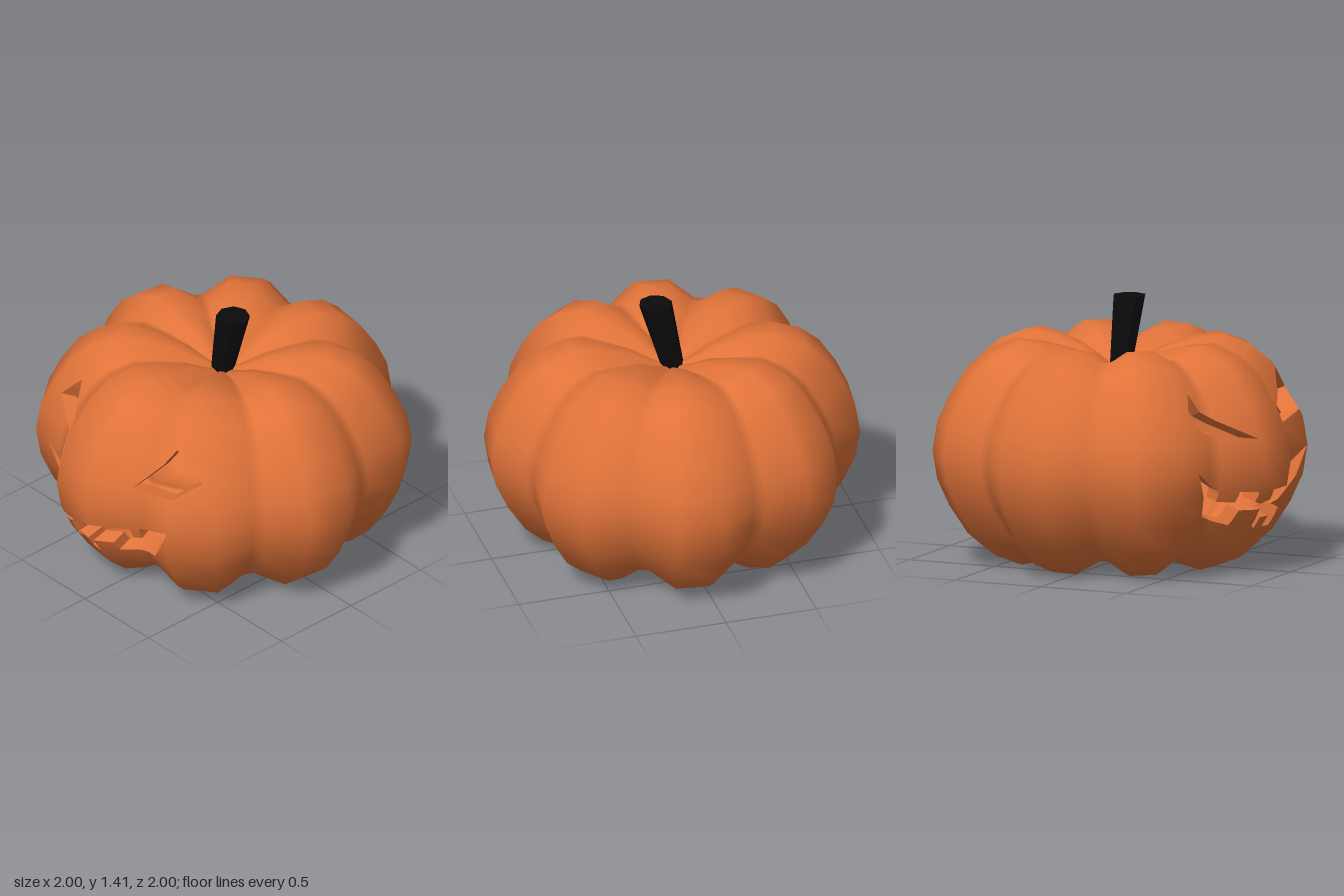
import * as THREE from 'three';

const CENTRE = 0.6, SHELL = 0.9;
const skin = new THREE.MeshStandardMaterial({ color: 0xe0733a });
const cutSkin = new THREE.MeshStandardMaterial({ color: 0xe0733a, side: THREE.DoubleSide });
const stemMat = new THREE.MeshStandardMaterial({ color: 0x0b0b0b });

// Half profile from the stem dip to the equator: radius, height above centre
const HALF = [[0, 0.42], [0.1, 0.46], [0.24, 0.535], [0.4, 0.58], [0.555, 0.6],
  [0.706, 0.54], [0.813, 0.448], [0.909, 0.3], [0.975, 0.155]];
const PROFILE = [...HALF, [1, 0], ...HALF.map(([r, y]) => [r, -y]).reverse()];
// One lobe: angle in degrees, groove depth
const LOBE = [[0, 0], [15, 0], [27.5, 0.11], [32.5, 0.11]];

// Carved openings, as outlines in the front plane
const LEFT_EYE = [[0.415, 1.03], [0.35, 0.92], [0.195, 0.735], [0.49, 0.795], [0.59, 0.89]];
const RIGHT_EYE = [[-0.56, 0.885], [-0.46, 0.79], [-0.26, 0.75], [-0.425, 0.9], [-0.455, 1.0]];
const MOUTH = [[-0.575, 0.595], [-0.44, 0.34], [-0.3, 0.28], [-0.3, 0.365], [-0.2, 0.365],
  [-0.2, 0.27], [-0.16, 0.25], [-0.16, 0.31], [-0.08, 0.31], [-0.08, 0.25], [-0.01, 0.245],
  [-0.01, 0.34], [0.08, 0.34], [0.08, 0.275], [0.31, 0.33], [0.41, 0.44], [0.495, 0.6],
  [0.25, 0.5], [0.25, 0.43], [0.19, 0.41], [0.19, 0.47], [-0.13, 0.46], [-0.13, 0.405],
  [-0.22, 0.395], [-0.26, 0.41], [-0.26, 0.465], [-0.33, 0.47], [-0.33, 0.41], [-0.4, 0.42],
  [-0.41, 0.48]];

// Closed, uncut lobed body with smooth normals
function lobedBody() {
  const pos = [], index = [], cols = 8 * LOBE.length;
  PROFILE.forEach(([r, y]) => {
    for (let k = 0; k < 8; k++) {
      for (const [deg, depth] of LOBE) {
        const a = THREE.MathUtils.degToRad(deg + 45 * k);
        const s = 1 - depth * Math.min(1, r / 0.3);
        pos.push(r * s * Math.cos(a), CENTRE + y * s, r * s * Math.sin(a));
      }
    }
  });
  for (let i = 0; i < PROFILE.length - 1; i++) {
    for (let j = 0; j < cols; j++) {
      const n = (j + 1) % cols, a = i * cols + j, b = i * cols + n;
      if (i > 0) index.push(a, b, a + cols);
      if (i < PROFILE.length - 2) index.push(b, b + cols, a + cols);
    }
  }
  const geo = new THREE.BufferGeometry();
  geo.setAttribute('position', new THREE.Float32BufferAttribute(pos, 3));
  geo.setIndex(index);
  geo.computeVertexNormals();
  return geo;
}

// Part of a convex polygon on one side of the line a-b
function clip(poly, a, b, sign) {
  const side = p => sign * ((b.x - a.x) * (p[1] - a.y) - (b.y - a.y) * (p[0] - a.x));
  const out = [];
  poly.forEach((p, i) => {
    const q = poly[(i + 1) % poly.length], sp = side(p), sq = side(q);
    if (sp >= 0) out.push(p);
    if ((sp > 0 && sq < 0) || (sp < 0 && sq > 0)) {
      out.push(p.map((v, k) => v + (q[k] - v) * sp / (sp - sq)));
    }
  });
  return out;
}

const area = poly => Math.abs(poly.reduce((s, p, i) => {
  const q = poly[(i + 1) % poly.length];
  return s + p[0] * q[1] - q[0] * p[1];
}, 0));

// Convex polygon minus a triangle, as convex pieces
function subtract(poly, tri) {
  const pieces = [];
  let rest = poly;
  for (let i = 0; i < 3; i++) {
    const a = tri[i], b = tri[(i + 1) % 3];
    const outside = clip(rest, a, b, -1);
    rest = clip(rest, a, b, 1);
    if (rest.length < 3 || area(rest) < 1e-9) return [poly];
    if (outside.length > 2 && area(outside) > 1e-9) pieces.push(outside);
  }
  return pieces;
}

// Counter-clockwise triangles filling an outline
function fill(outline) {
  const pts = outline.map(([x, y]) => new THREE.Vector2(x, y));
  return THREE.ShapeUtils.triangulateShape(pts, []).map(f => {
    const t = f.map(i => pts[i]);
    return THREE.ShapeUtils.area(t) < 0 ? t.reverse() : t;
  });
}

// Body surface with the openings cut out of its front
function carve(body, outlines) {
  const cutters = outlines.flatMap(fill);
  const flat = body.toNonIndexed(), P = flat.attributes.position, N = flat.attributes.normal;
  const pos = [], nor = [];
  for (let i = 0; i < P.count; i += 3) {
    const tri = [i, i + 1, i + 2].map(k =>
      [P.getX(k), P.getY(k), P.getZ(k), N.getX(k), N.getY(k), N.getZ(k)]);
    let polys = [tri];
    if (tri.every(p => p[2] > 0.35)) {
      for (const c of cutters) polys = polys.flatMap(p => subtract(p, c));
    }
    for (const p of polys) {
      for (let k = 1; k < p.length - 1; k++) {
        for (const v of [p[0], p[k], p[k + 1]]) {
          pos.push(...v.slice(0, 3));
          nor.push(...v.slice(3));
        }
      }
    }
  }
  const geo = new THREE.BufferGeometry();
  geo.setAttribute('position', new THREE.Float32BufferAttribute(pos, 3));
  geo.setAttribute('normal', new THREE.Float32BufferAttribute(nor, 3));
  geo.normalizeNormals();
  return geo;
}

// Point moved from the outer skin to the inner one
const inward = p => new THREE.Vector3(p.x * SHELL, CENTRE + (p.y - CENTRE) * SHELL, p.z * SHELL);

// Same surface shrunk and turned inside out
function innerSkin(outer) {
  const geo = outer.clone(), P = geo.attributes.position, N = geo.attributes.normal;
  for (let i = 0; i < P.count; i++) {
    const src = i % 3 === 0 ? i : i % 3 === 1 ? i + 1 : i - 1;
    const p = inward(new THREE.Vector3().fromBufferAttribute(outer.attributes.position, src));
    const n = new THREE.Vector3().fromBufferAttribute(outer.attributes.normal, src);
    P.setXYZ(i, p.x, p.y, p.z);
    N.setXYZ(i, -n.x, -n.y, -n.z);
  }
  return geo;
}

// Cut faces joining outer and inner skin along an outline
function rim(bodyMesh, outline, steps = 8) {
  const ray = new THREE.Raycaster(), dir = new THREE.Vector3(0, 0, -1), pts = [], pos = [];
  outline.forEach(([x, y], i) => {
    const [x2, y2] = outline[(i + 1) % outline.length];
    for (let k = 0; k < steps; k++) {
      const t = k / steps;
      ray.set(new THREE.Vector3(x + (x2 - x) * t, y + (y2 - y) * t, 3), dir);
      const hit = ray.intersectObject(bodyMesh)[0];
      if (hit) pts.push(hit.point);
    }
  });
  pts.forEach((a, i) => {
    const b = pts[(i + 1) % pts.length], c = inward(a), d = inward(b);
    for (const v of [a, c, b, b, c, d]) pos.push(v.x, v.y, v.z);
  });
  const geo = new THREE.BufferGeometry();
  geo.setAttribute('position', new THREE.Float32BufferAttribute(pos, 3));
  geo.computeVertexNormals();
  return geo;
}

export function createModel() {
  const group = new THREE.Group();
  const add = (name, geo, mat) => {
    const mesh = new THREE.Mesh(geo, mat);
    mesh.name = name;
    group.add(mesh);
  };

  // Hollow carved body
  const body = lobedBody(), bodyMesh = new THREE.Mesh(body, skin);
  const outer = carve(body, [LEFT_EYE, RIGHT_EYE, MOUTH]);
  add('outerSkin', outer, skin);
  add('innerSkin', innerSkin(outer), skin);
  add('leftEyeRim', rim(bodyMesh, LEFT_EYE), cutSkin);
  add('rightEyeRim', rim(bodyMesh, RIGHT_EYE), cutSkin);
  add('mouthRim', rim(bodyMesh, MOUTH), cutSkin);

  // Leaning stem, wider at its top
  const stem = new THREE.CylinderGeometry(0.09, 0.06, 0.41, 8).toNonIndexed();
  const P = stem.attributes.position;
  for (let i = 0; i < P.count; i++) {
    const t = P.getY(i) / 0.41 + 0.5;
    P.setXYZ(i, P.getX(i) - 0.01 + 0.097 * t, P.getY(i) + 1.205, P.getZ(i) + 0.005 + 0.01 * t);
  }
  stem.computeVertexNormals();
  add('stem', stem, stemMat);
  return group;
}
